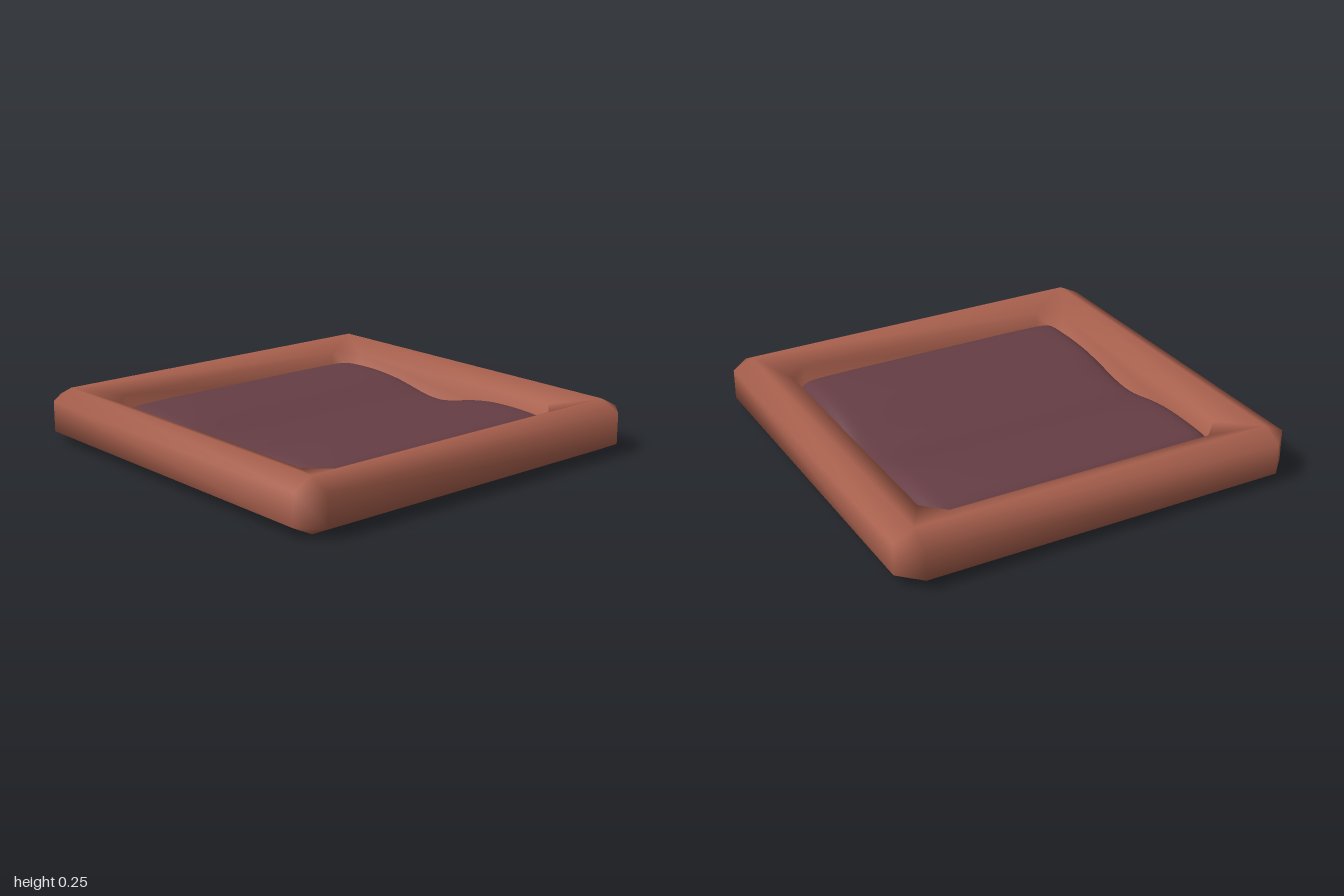
import * as THREE from 'three';
import { mergeVertices } from 'three/addons/utils/BufferGeometryUtils.js';

const rimMaterial = new THREE.MeshStandardMaterial({ color: 0xa9604d });
rimMaterial.name = 'terracotta';
const cushionMaterial = new THREE.MeshStandardMaterial({ color: 0x663e45 });
cushionMaterial.name = 'plum';

// Weld all vertices so the shading is smooth
function smooth(geometry) {
  geometry.deleteAttribute('uv');
  geometry.deleteAttribute('normal');
  const welded = mergeVertices(geometry, 1e-4);
  welded.computeVertexNormals();
  return welded;
}

// Rectangle with cut corners, lying at height y
function ring([half, y, cut]) {
  const hx = half, hz = half > 0 ? half + 0.01 : 0;
  const ix = hx - cut, iz = hz - cut;
  return [
    [hx, -iz], [hx, iz], [ix, hz], [-ix, hz],
    [-hx, iz], [-hx, -iz], [-ix, -hz], [ix, -hz],
  ].map(([x, z]) => [x, y, z]);
}

// Shallow tray: one skin from the underside, over the rim, to the floor
function trayGeometry() {
  const rings = [
    [0, 0, 0],
    [0.89, 0, 0],
    [0.99, 0.05, 0.1],
    [0.99, 0.2, 0.1],
    [0.89, 0.25, 0],
    [0.765, 0.2, 0.1],
    [0.765, 0.06, 0.1],
    [0.69, 0.03, 0.06],
    [0, 0.03, 0],
  ].map(ring);
  const index = [];
  for (let i = 0; i < rings.length - 1; i++) {
    for (let j = 0; j < 8; j++) {
      const k = (j + 1) % 8;
      const a = i * 8 + j, b = i * 8 + k, c = b + 8, d = a + 8;
      index.push(a, d, c, a, c, b);
    }
  }
  const geometry = new THREE.BufferGeometry();
  geometry.setAttribute('position', new THREE.Float32BufferAttribute(rings.flat(2), 3));
  geometry.setIndex(index);
  return smooth(geometry);
}

// Height of the cushion top: a soft dip across the middle, falling a little to the edges
function cushionTop(x, z) {
  const dip = 0.07 * Math.exp(-((z / 0.26) ** 2));
  const edge = 0.02 * (z / 0.745) ** 6 + 0.015 * (x / 0.74) ** 8;
  return 0.182 - dip - edge;
}

// Rounded slab whose upper side follows the dip
function cushionGeometry() {
  const half = new THREE.Vector3(0.74, 0.08, 0.745);
  const radius = 0.08;
  const base = 0.015;
  const geometry = new THREE.BoxGeometry(half.x * 2, half.y * 2, half.z * 2, 48, 8, 48);
  const core = half.clone().subScalar(radius);
  const position = geometry.attributes.position;
  const p = new THREE.Vector3();
  const inner = new THREE.Vector3();
  for (let i = 0; i < position.count; i++) {
    p.fromBufferAttribute(position, i);
    inner.copy(p).clamp(core.clone().negate(), core);
    p.sub(inner).setLength(radius).add(inner);
    const t = (p.y + half.y) / (2 * half.y);
    position.setXYZ(i, p.x, base + t * (cushionTop(p.x, p.z) - base), p.z);
  }
  return smooth(geometry);
}

export function createModel() {
  const model = new THREE.Group();
  model.name = 'cushionedTray';

  const tray = new THREE.Mesh(trayGeometry(), rimMaterial);
  tray.name = 'tray';

  const cushion = new THREE.Mesh(cushionGeometry(), cushionMaterial);
  cushion.name = 'cushion';

  model.add(tray, cushion);
  return model;
}
